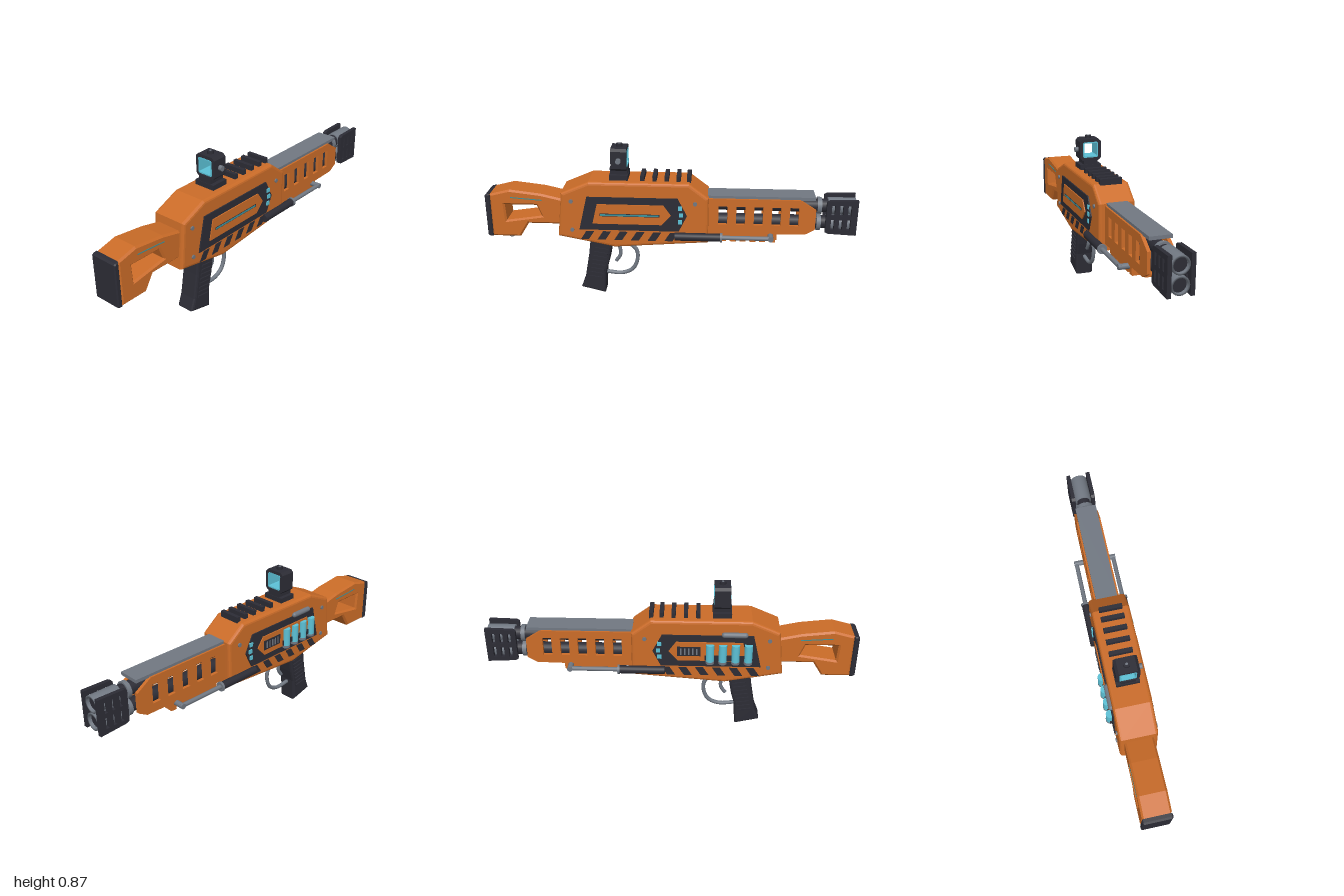
import * as THREE from 'three';

const mat = (name, color) => {
  const m = new THREE.MeshStandardMaterial({ color });
  m.name = name;
  return m;
};

export function createModel() {
  const root = new THREE.Group();
  root.name = 'twinBarrelRifle';
  const orange = mat('orange', 0xcb6c28), dark = mat('charcoal', 0x2c2c35);
  const grey = mat('steel', 0x717882), cyan = mat('cyan', 0x5cc1d6), teal = mat('teal', 0x3c8f98);

  const add = (name, geo, m, x = 0, y = 0, z = 0) => {
    const mesh = new THREE.Mesh(geo, m);
    mesh.name = name;
    mesh.position.set(x, y, z);
    root.add(mesh);
    return mesh;
  };
  const box = (name, m, w, h, d, x, y, z) => add(name, new THREE.BoxGeometry(w, h, d), m, x, y, z);
  // Side outline extruded along z, with an inward bevel
  const slab = (name, m, pts, z0, z1, bevel = 0, holes = [], seg = 1) => {
    const v = (p) => p.map(([x, y]) => new THREE.Vector2(x, y));
    const shape = new THREE.Shape(v(pts));
    holes.forEach((h) => shape.holes.push(new THREE.Path(v(h))));
    const geo = new THREE.ExtrudeGeometry(shape, {
      depth: z1 - z0 - 2 * bevel, bevelEnabled: bevel > 0, bevelSize: bevel,
      bevelThickness: bevel, bevelOffset: -bevel, bevelSegments: seg,
    });
    geo.translate(0, 0, z0 + bevel);
    return add(name, geo, m);
  };
  const rod = (name, m, r, len, axis, x, y, z, sides = 20) => {
    const geo = new THREE.CylinderGeometry(r, r, len, sides);
    if (axis === 'x') geo.rotateZ(-Math.PI / 2);
    if (axis === 'z') geo.rotateX(Math.PI / 2);
    return add(name, geo, m, x, y, z);
  };
  const tube = (name, m, pts, r, seg = 40) => add(name, new THREE.TubeGeometry(
    new THREE.CatmullRomCurve3(pts.map((p) => new THREE.Vector3(...p))), seg, r, 10), m);
  const rect = (x0, y0, x1, y1) => [[x0, y0], [x1, y0], [x1, y1], [x0, y1]];
  // Thin painted plate on side s of the gun, from depth a to b
  const decal = (name, m, pts, s, a, b, holes) =>
    slab(name, m, pts, s > 0 ? a : -b, s > 0 ? b : -a, 0, holes);
  const sides = [1, -1];

  // Stock with thumb hole, butt pad and sling ring
  slab('stock', orange, [[-0.975, 0.35], [-0.82, 0.35], [-0.77, 0.43], [-0.56, 0.43], [-0.56, 0.572],
    [-0.695, 0.603], [-0.865, 0.623], [-0.975, 0.595]], -0.076, 0.076, 0.01,
  [[[-0.895, 0.537], [-0.72, 0.537], [-0.695, 0.475], [-0.89, 0.445]]]);
  slab('buttPad', dark, [[-1, 0.357], [-0.99, 0.35], [-0.972, 0.35], [-0.972, 0.596], [-0.99, 0.594], [-1, 0.587]],
    -0.078, 0.078, 0.006);
  add('slingRing', new THREE.TorusGeometry(0.016, 0.004, 8, 20), grey, -0.89, 0.333, 0);
  sides.forEach((s) => decal('stockLine', teal,
    [[-0.86, 0.578], [-0.69, 0.566], [-0.69, 0.571], [-0.86, 0.583]], s, 0.074, 0.078));

  // Receiver
  slab('receiver', orange, [[-0.605, 0.37], [-0.295, 0.31], [0.21, 0.35], [0.21, 0.605], [0.105, 0.685],
    [-0.43, 0.685], [-0.58, 0.62]], -0.101, 0.101, 0.016, [], 3);
  for (const x of [-0.145, -0.08, -0.015, 0.048, 0.103]) {
    box('topRailTooth', dark, 0.022, 0.034, 0.124, x, 0.695, 0);
  }

  // Markings, panels and screws on both sides of the receiver
  const panel = [[-0.485, 0.417], [0.052, 0.417], [0.095, 0.507], [0.045, 0.605], [-0.44, 0.605]];
  const inset = [[-0.412, 0.455], [-0.04, 0.455], [0.01, 0.51], [-0.03, 0.567], [-0.385, 0.567]];
  for (const s of sides) {
    decal('sidePanel', dark, panel, s, 0.1, 0.108);
    decal('sidePanelInset', orange, inset, s, 0.106, 0.114);
    for (let i = 0; i < 6; i++) {
      const x = -0.48 + i * 0.091;
      decal('hazardStripe', dark, [[x, 0.357], [x + 0.043, 0.357], [x + 0.074, 0.406], [x + 0.031, 0.406]], s, 0.099, 0.104);
    }
    for (const y of [0.552, 0.513, 0.474]) {
      box('indicatorLight', cyan, 0.022, 0.022, 0.01, 0.065 - Math.abs(y - 0.513) * 0.15, y, s * 0.109);
    }
    for (const [x, y] of [[-0.525, 0.577], [-0.525, 0.412], [0.138, 0.577]]) {
      rod('screw', grey, 0.011, 0.012, 'z', x, y, s * 0.102, 12);
    }
  }
  decal('panelLineBorder', dark, rect(-0.372, 0.5, -0.05, 0.515), 1, 0.112, 0.115);
  decal('panelLine', teal, rect(-0.368, 0.503, -0.054, 0.512), 1, 0.113, 0.117);

  // Spare shells, vent and bolt handle on the right side
  for (let i = 0; i < 4; i++) {
    const x = -0.415 + i * 0.068;
    rod('spareShell', cyan, 0.022, 0.1, 'y', x, 0.506, -0.115);
    rod('shellBase', grey, 0.023, 0.014, 'y', x, 0.45, -0.115);
  }
  box('shellClip', dark, 0.26, 0.03, 0.02, -0.313, 0.475, -0.11);
  decal('ventPlate', dark, rect(-0.16, 0.485, -0.035, 0.54), -1, 0.112, 0.117);
  for (let i = 0; i < 5; i++) {
    box('ventSlat', grey, 0.007, 0.038, 0.004, -0.14 + i * 0.021, 0.512, -0.118);
  }
  const bolt = new THREE.CapsuleGeometry(0.015, 0.11, 6, 14);
  bolt.rotateZ(Math.PI / 2);
  add('boltHandle', bolt, grey, -0.34, 0.61, -0.105);

  // Pistol grip with side ribs
  slab('grip', dark, [[-0.365, 0], [-0.357, 0.13], [-0.338, 0.2], [-0.312, 0.345], [-0.437, 0.345], [-0.45, 0.24],
    [-0.475, 0.1], [-0.5, 0.033]], -0.053, 0.053, 0.012, [], 2);
  for (const s of sides) {
    for (let i = 0; i < 8; i++) {
      const rib = box('gripRib', dark, 0.075, 0.012, 0.014, -0.415 + i * 0.0052, 0.1 + i * 0.025, s * 0.053);
      rib.rotation.z = -0.15;
    }
  }

  // Trigger and guard
  tube('triggerGuard', grey, [[-0.27, 0.31, 0], [-0.225, 0.288, 0], [-0.19, 0.255, 0], [-0.183, 0.2, 0],
    [-0.21, 0.135, 0], [-0.27, 0.106, 0], [-0.36, 0.112, 0]], 0.011);
  tube('trigger', grey, [[-0.3, 0.32, 0], [-0.282, 0.265, 0], [-0.28, 0.22, 0], [-0.305, 0.18, 0]], 0.01, 20);

  // Sight: mount, neck, hollow head with a lit rim, knobs
  box('sightMount', dark, 0.1, 0.035, 0.122, -0.272, 0.695, 0);
  box('sightNeck', dark, 0.094, 0.045, 0.078, -0.272, 0.727, 0);
  const sq = (w, c) => [[-w, -w + c], [-w + c, -w], [w - c, -w], [w, -w + c], [w, w - c], [w - c, w], [-w + c, w], [-w, w - c]];
  const frame = (name, m, outer, inner, c, len) => {
    const f = slab(name, m, sq(outer, c), -len / 2, len / 2, 0, [sq(inner, 0.005)]);
    f.rotation.y = Math.PI / 2;
    f.position.set(-0.27, 0.796, 0);
  };
  frame('sightHead', dark, 0.061, 0.043, 0.014, 0.084);
  frame('sightRim', cyan, 0.044, 0.037, 0.006, 0.088);
  rod('sightSideKnob', grey, 0.014, 0.02, 'z', -0.27, 0.795, 0.07);
  rod('sightTopKnob', dark, 0.017, 0.022, 'y', -0.27, 0.861, 0);
  rod('sightTopKnobCap', grey, 0.007, 0.004, 'y', -0.27, 0.871, 0, 12);

  // Slotted fore-end: side walls, floor and top rib
  const slots = [0.287, 0.382, 0.477, 0.572, 0.667].map((x) => rect(x - 0.024, 0.448, x + 0.024, 0.552));
  for (const s of sides) {
    decal('foreEndWall', orange, [[0.19, 0.388], [0.73, 0.4], [0.78, 0.43], [0.78, 0.54], [0.695, 0.595], [0.19, 0.595]],
      s, 0.05, 0.068, slots);
  }
  box('foreEndFloor', orange, 0.53, 0.014, 0.11, 0.465, 0.402, 0);
  box('topRib', grey, 0.57, 0.018, 0.116, 0.49, 0.6, 0);

  // Twin barrels with collars and muzzle tubes
  for (const y of [0.45, 0.545]) {
    rod('barrel', dark, 0.036, 0.7, 'x', 0.53, y, 0);
    rod('barrelCollar', grey, 0.046, 0.022, 'x', 0.802, y, 0, 24);
    const profile = [[0.034, -0.07], [0.046, -0.07], [0.046, 0.075], [0.036, 0.075], [0.036, -0.02]];
    const geo = new THREE.LatheGeometry(profile.map(([r, h]) => new THREE.Vector2(r, h)), 24);
    geo.rotateZ(-Math.PI / 2);
    add('muzzleTube', geo, grey, 0.918, y, 0);
    rod('bore', dark, 0.0365, 0.12, 'x', 0.917, y, 0, 24);
  }
  // Slotted muzzle guard plates
  const cuts = [0.871, 0.914, 0.957].flatMap((x) =>
    [[0.43, 0.488], [0.512, 0.57]].map(([a, b]) => rect(x - 0.009, a, x + 0.009, b)));
  for (const s of sides) {
    decal('muzzleGuard', dark, [[0.835, 0.415], [0.85, 0.408], [1, 0.4], [1, 0.598], [0.85, 0.594], [0.835, 0.585]],
      s, 0.046, 0.067, cuts);
  }

  // Pump with ribs underneath, carried by two side slide rods
  box('pump', orange, 0.31, 0.04, 0.124, 0.425, 0.38, 0);
  for (let i = 0; i < 6; i++) {
    box('pumpRib', orange, 0.034, 0.02, 0.116, 0.292 + i * 0.053, 0.355, 0);
  }
  for (const s of sides) {
    rod('slideSleeve', dark, 0.022, 0.245, 'x', 0.153, 0.388, s * 0.108);
    rod('slideCollar', grey, 0.026, 0.012, 'x', 0.28, 0.388, s * 0.108);
    rod('slideRod', grey, 0.012, 0.28, 'x', 0.415, 0.388, s * 0.108, 14);
    rod('slideCrossbar', grey, 0.015, 0.065, 'z', 0.545, 0.388, s * 0.088, 14);
  }
  return root;
}
